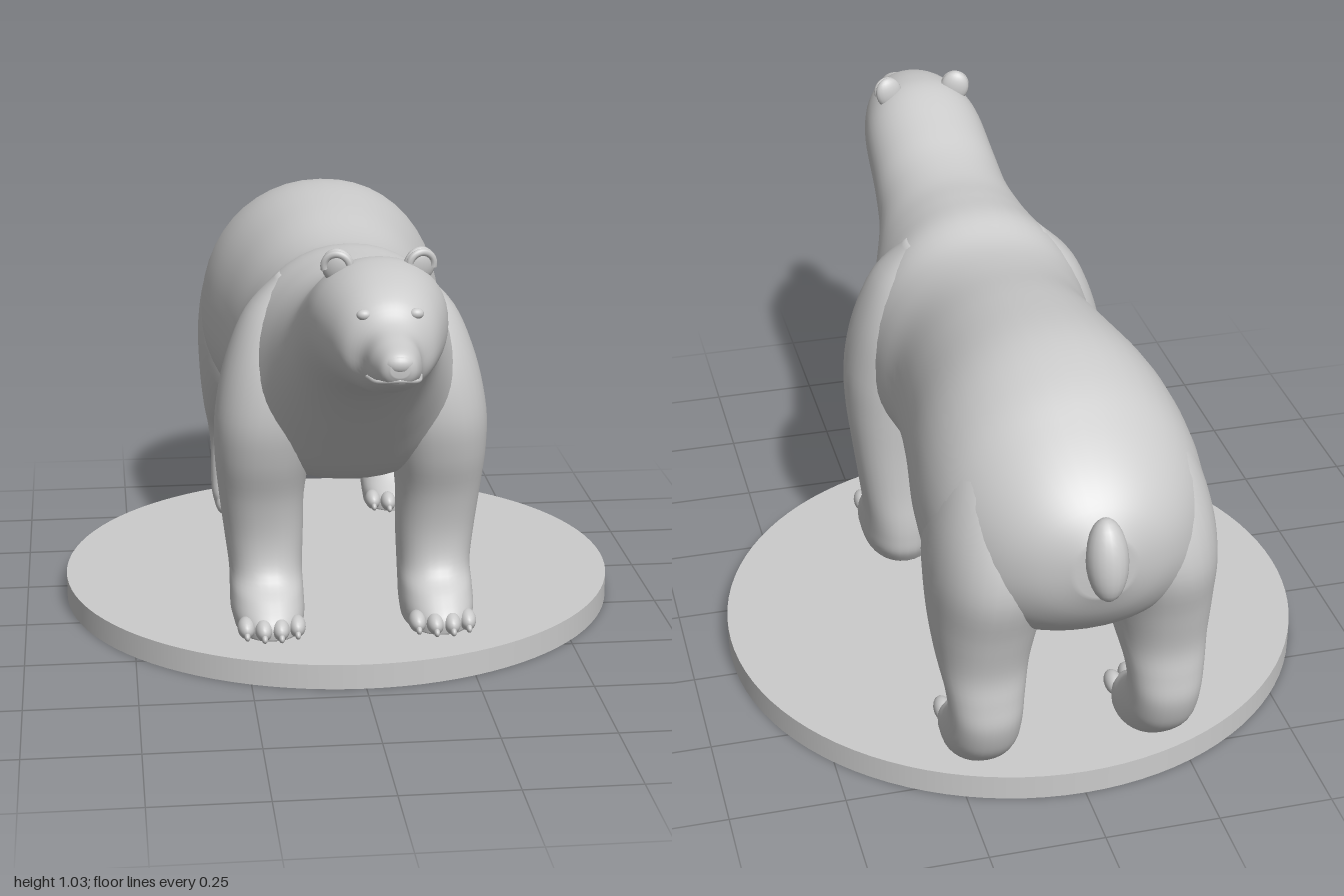
import * as THREE from 'three';

const material = new THREE.MeshStandardMaterial({ color: 0xcccccc });

// Smoothly resample rows of numbers
function resample(rows, steps) {
  const out = [];
  for (let i = 0; i < rows.length - 1; i++) {
    const a = rows[Math.max(i - 1, 0)], b = rows[i], c = rows[i + 1], d = rows[Math.min(i + 2, rows.length - 1)];
    for (let k = 0; k < steps; k++) {
      const t = k / steps;
      out.push(b.map((v, j) => 0.5 * (2 * v + (c[j] - a[j]) * t + (2 * a[j] - 5 * v + 4 * c[j] - d[j]) * t * t
        + (3 * v - a[j] - 3 * c[j] + d[j]) * t * t * t)));
    }
  }
  out.push(rows[rows.length - 1]);
  return out;
}

// Closed skin over rings of points, with centre-fan caps, always facing outwards
function loft(rings) {
  const n = rings[0].length, pts = rings.flat(), index = [];
  for (let i = 0; i < rings.length - 1; i++) {
    for (let j = 0; j < n; j++) {
      const a = i * n + j, b = i * n + (j + 1) % n;
      index.push(a, b, a + n, b, b + n, a + n);
    }
  }
  [0, rings.length - 1].forEach((r) => {
    const centre = new THREE.Vector3();
    rings[r].forEach((p) => centre.addScaledVector(p, 1 / n));
    pts.push(centre);
    for (let j = 0; j < n; j++) {
      const a = r * n + j, b = r * n + (j + 1) % n;
      if (r === 0) index.push(b, a, pts.length - 1);
      else index.push(a, b, pts.length - 1);
    }
  });
  let volume = 0;
  const cross = new THREE.Vector3();
  for (let i = 0; i < index.length; i += 3) {
    volume += pts[index[i]].dot(cross.crossVectors(pts[index[i + 1]], pts[index[i + 2]]));
  }
  if (volume < 0) index.reverse();
  const geometry = new THREE.BufferGeometry().setFromPoints(pts);
  geometry.setIndex(index);
  geometry.computeVertexNormals();
  return geometry;
}

const power = (v, e) => Math.sign(v) * Math.abs(v) ** e;

function add(parent, name, geometry) {
  const mesh = new THREE.Mesh(geometry, material);
  mesh.name = name;
  parent.add(mesh);
  return mesh;
}

function ellipsoid(parent, name, position, radii, rotation = [0, 0, 0]) {
  const mesh = add(parent, name, new THREE.SphereGeometry(1, 20, 14));
  mesh.position.set(...position);
  mesh.scale.set(...radii);
  mesh.rotation.set(...rotation);
  return mesh;
}

// Trunk, neck and head: z, top, bottom, half width, height of widest point
const bodyRows = [
  [0.995, 0.895, 0.86, 0.018, 0.875],
  [0.98, 0.908, 0.838, 0.036, 0.87],
  [0.93, 0.918, 0.815, 0.05, 0.86],
  [0.87, 0.932, 0.797, 0.06, 0.855],
  [0.83, 0.97, 0.783, 0.092, 0.87],
  [0.78, 0.995, 0.772, 0.113, 0.88],
  [0.7, 1.012, 0.755, 0.134, 0.88],
  [0.62, 1.01, 0.73, 0.145, 0.87],
  [0.5, 0.97, 0.68, 0.152, 0.82],
  [0.4, 0.935, 0.605, 0.164, 0.76],
  [0.3, 0.918, 0.505, 0.195, 0.69],
  [0.2, 0.92, 0.41, 0.235, 0.6],
  [0.1, 0.92, 0.37, 0.265, 0.57],
  [0, 0.892, 0.365, 0.258, 0.57],
  [-0.12, 0.896, 0.357, 0.245, 0.58],
  [-0.3, 0.925, 0.337, 0.262, 0.59],
  [-0.5, 0.942, 0.315, 0.292, 0.59],
  [-0.65, 0.915, 0.325, 0.298, 0.58],
  [-0.76, 0.865, 0.375, 0.275, 0.58],
  [-0.85, 0.81, 0.43, 0.218, 0.6],
  [-0.91, 0.755, 0.5, 0.145, 0.62],
  [-0.945, 0.7, 0.57, 0.06, 0.635],
];

function bodyRing([z, top, bottom, w, mid]) {
  return Array.from({ length: 48 }, (_, i) => {
    const a = (i / 48) * Math.PI * 2, s = power(Math.sin(a), 0.94);
    return new THREE.Vector3(w * power(Math.cos(a), 0.94), mid + s * (s > 0 ? top - mid : mid - bottom), z);
  });
}

// Legs: height, back z, front z, centre x, half width
const frontLegRows = [
  [0.056, 0.02, 0.305, 0.193, 0.078],
  [0.09, 0.0, 0.305, 0.195, 0.084],
  [0.13, -0.005, 0.265, 0.195, 0.084],
  [0.175, -0.005, 0.212, 0.195, 0.084],
  [0.25, 0.0, 0.198, 0.198, 0.09],
  [0.35, 0.0, 0.215, 0.203, 0.097],
  [0.45, -0.005, 0.25, 0.2, 0.109],
  [0.55, -0.01, 0.27, 0.19, 0.117],
  [0.67, -0.01, 0.26, 0.168, 0.114],
  [0.78, 0.02, 0.22, 0.14, 0.095],
  [0.86, 0.07, 0.16, 0.11, 0.05],
];
const hindLegRows = [
  [0.056, -0.76, -0.56, 0.195, 0.074],
  [0.09, -0.795, -0.565, 0.197, 0.08],
  [0.13, -0.82, -0.62, 0.197, 0.08],
  [0.19, -0.838, -0.677, 0.197, 0.078],
  [0.25, -0.835, -0.67, 0.197, 0.084],
  [0.32, -0.832, -0.6, 0.195, 0.098],
  [0.42, -0.855, -0.53, 0.188, 0.115],
  [0.54, -0.885, -0.49, 0.175, 0.13],
  [0.66, -0.86, -0.5, 0.155, 0.13],
  [0.77, -0.8, -0.54, 0.125, 0.11],
  [0.84, -0.72, -0.6, 0.1, 0.05],
];

function leg(parent, name, rows, side) {
  const group = new THREE.Group();
  group.name = name;
  parent.add(group);
  const rings = resample(rows, 5).map(([y, back, front, x, w]) => Array.from({ length: 32 }, (_, i) => {
    const a = (i / 32) * Math.PI * 2;
    return new THREE.Vector3(side * (x + w * power(Math.cos(a), 0.9)), y, (back + front) / 2
      + (front - back) / 2 * power(Math.sin(a), 0.9));
  }));
  add(group, 'limb', loft(rings));
  // Four toes with small claws
  const toeZ = rows[0][2] - 0.015;
  for (let i = 0; i < 4; i++) {
    const x = side * (0.137 + i * 0.038), z = toeZ - (i === 0 || i === 3 ? 0.018 : 0);
    ellipsoid(group, 'toe', [x, 0.08, z], [0.02, 0.024, 0.036]);
    ellipsoid(group, 'claw', [x, 0.07, z + 0.031], [0.007, 0.01, 0.014]);
  }
}

export function createModel() {
  const model = new THREE.Group();
  model.name = 'bearOnBase';

  const base = add(model, 'base', new THREE.CylinderGeometry(0.655, 0.655, 0.057, 96));
  base.position.set(0, 0.0285, -0.195);

  add(model, 'body', loft(resample(bodyRows, 5).map(bodyRing)));
  ellipsoid(model, 'tail', [0, 0.665, -0.953], [0.043, 0.088, 0.045], [0.2, 0, 0]);
  ellipsoid(model, 'nose', [0, 0.884, 0.978], [0.03, 0.021, 0.021]);

  // Mouth line wrapping round the muzzle
  const mouth = new THREE.CatmullRomCurve3([[-0.052, 0.838, 0.9], [-0.037, 0.845, 0.967], [0, 0.853, 0.99],
    [0.037, 0.845, 0.967], [0.052, 0.838, 0.9]].map((p) => new THREE.Vector3(...p)));
  add(model, 'mouth', new THREE.TubeGeometry(mouth, 24, 0.004, 6));

  for (const side of [1, -1]) {
    const label = side > 0 ? 'left' : 'right';
    leg(model, label + 'FrontLeg', frontLegRows, side);
    leg(model, label + 'HindLeg', hindLegRows, side);
    ellipsoid(model, label + 'Eye', [side * 0.051, 0.944, 0.836], [0.015, 0.011, 0.012]);
    // Ear: rounded flap with a raised rim
    const ear = new THREE.Group();
    ear.name = label + 'Ear';
    ear.position.set(side * 0.082, 0.997, 0.648);
    ear.rotation.set(0.1, side * 0.25, side * -0.25);
    model.add(ear);
    ellipsoid(ear, 'earFlap', [0, 0, 0], [0.034, 0.038, 0.017]);
    const rim = add(ear, 'earRim', new THREE.TorusGeometry(0.026, 0.008, 8, 24, Math.PI));
    rim.position.set(0, 0.003, 0.01);
  }
  return model;
}
